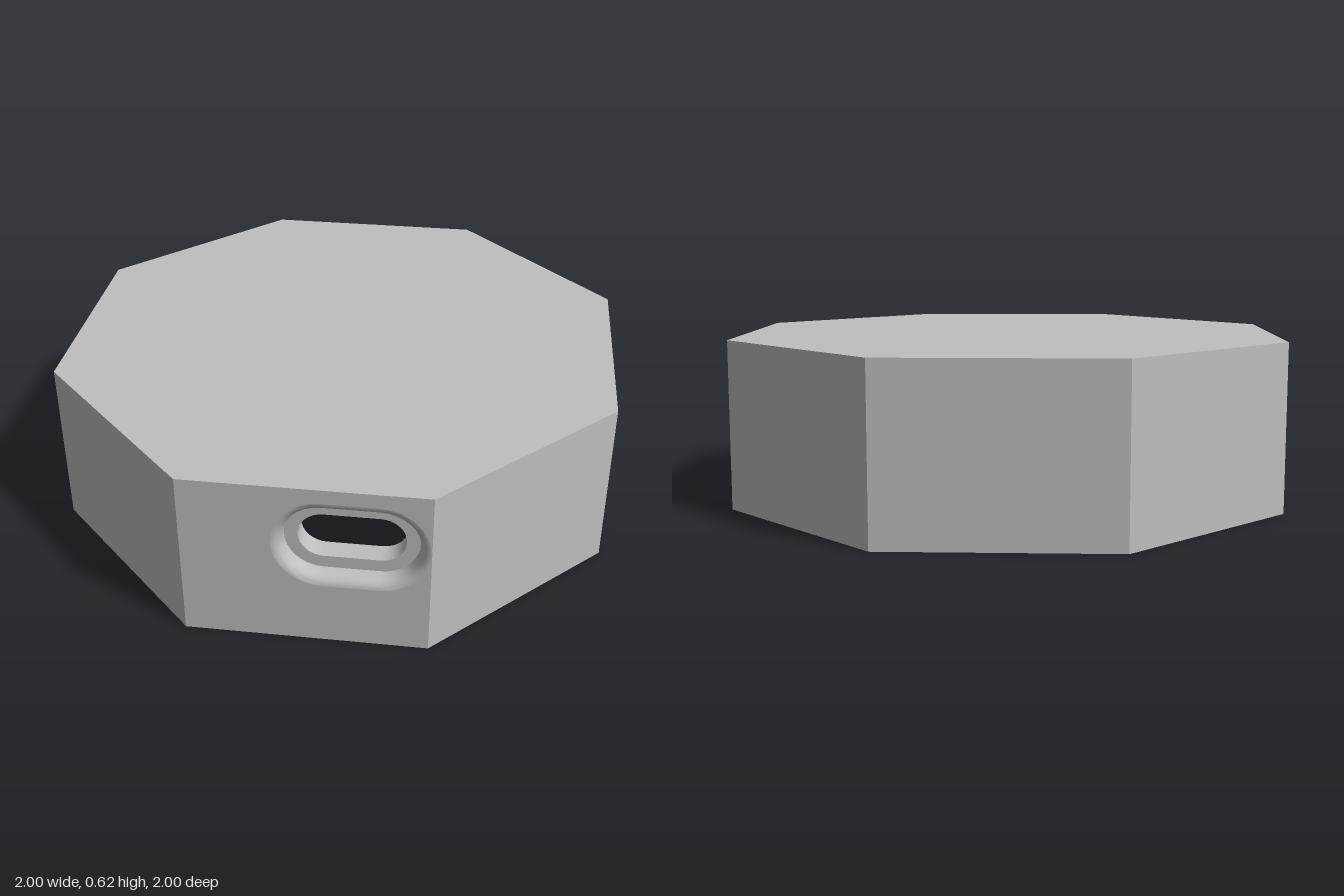
import * as THREE from 'three';
import { toCreasedNormals } from 'three/addons/utils/BufferGeometryUtils.js';

const TAN = Math.tan(Math.PI / 8);
const HEIGHT = 0.62, CEILING = 0.53, INNER = 0.87, RECESS = 0.945;
const V = (x, y) => new THREE.Vector2(x, y);

// Octagon corners for a given distance from centre to side
const octagon = (apothem) => Array.from({ length: 8 }, (_, i) => {
  const a = Math.PI / 8 + i * Math.PI / 4, r = apothem / Math.cos(Math.PI / 8);
  return V(r * Math.cos(a), r * Math.sin(a));
});

const rect = (x0, y0, x1, y1) => [V(x0, y0), V(x1, y0), V(x1, y1), V(x0, y1)];

// Rounded slot outline, counterclockwise, with a fixed straight length
function slot(radius, n = 16) {
  const pts = [];
  for (const side of [1, -1]) {
    for (let i = 0; i <= n; i++) {
      const a = -Math.PI / 2 + Math.PI * i / n;
      pts.push(V(0.15 + side * (0.094 + radius * Math.cos(a)), 0.4 + side * radius * Math.sin(a)));
    }
  }
  return pts;
}

// Flat panel with optional holes, at depth z
function panel(points, holes = [], z = 0, inward = false) {
  const shape = new THREE.Shape(points);
  holes.forEach((h) => shape.holes.push(new THREE.Path(h)));
  const g = new THREE.ShapeGeometry(shape).translate(0, 0, z);
  if (inward) {
    g.setIndex(Array.from(g.index.array).reverse());
    g.computeVertexNormals();
  }
  return g;
}

// Inward-facing skin through outlines given from front to back as [points, z]
function loft(rings) {
  const n = rings[0][0].length, pos = [], idx = [];
  rings.forEach(([pts, z]) => pts.forEach((p) => pos.push(p.x, p.y, z)));
  for (let j = 0; j < rings.length - 1; j++) {
    for (let i = 0; i < n; i++) {
      const a = j * n + i, b = j * n + (i + 1) % n;
      idx.push(a, b, a + n, b, b + n, a + n);
    }
  }
  const g = new THREE.BufferGeometry();
  g.setAttribute('position', new THREE.Float32BufferAttribute(pos, 3));
  g.setIndex(idx);
  g.computeVertexNormals();
  return toCreasedNormals(g, 0.7);
}

export function createModel() {
  const grey = new THREE.MeshStandardMaterial({ color: 0xbfbfbf, side: THREE.DoubleSide });
  grey.name = 'grey';
  const model = new THREE.Group();
  model.name = 'octagonalCover';
  const add = (parent, name, geometry) => {
    const m = new THREE.Mesh(geometry, grey);
    m.name = name;
    parent.add(m);
  };

  // Lid, ceiling and bottom rim
  add(model, 'lid', panel(octagon(1)).rotateX(-Math.PI / 2).translate(0, HEIGHT, 0));
  add(model, 'ceiling', panel(octagon(INNER)).rotateX(Math.PI / 2).translate(0, CEILING, 0));
  add(model, 'bottomRim', panel(octagon(1), [octagon(INNER)]).rotateX(Math.PI / 2));

  // Side walls, each built facing +z; index 1 faces front left
  const notch = rect(-0.07, 0.045, 0.07, 0.085);
  for (let k = 0; k < 8; k++) {
    const wall = new THREE.Group();
    wall.name = 'wall' + (k + 1);
    wall.rotation.y = k * Math.PI / 4;
    model.add(wall);
    const open = k === 1;

    add(wall, 'outerFace', panel(rect(-TAN, 0, TAN, HEIGHT), open ? [slot(0.168)] : [], 1));
    const w = TAN * INNER;
    add(wall, 'innerFace', panel(rect(-w, 0, w, CEILING), open ? [notch, slot(0.085)] : [notch], INNER, true));

    // Latch notch near the rim
    add(wall, 'notchSides', loft([[notch, INNER + 0.03], [notch, INNER]]));
    add(wall, 'notchBack', panel(notch, [], INNER + 0.03, true));

    // Cable opening: rounded lip, flat ledge and through slot
    if (open) {
      const lip = [];
      for (let i = 0; i <= 8; i++) {
        const a = i / 8 * Math.PI / 2;
        lip.push([slot(0.168 - 0.038 * Math.sin(a)), 1 - (1 - RECESS) * (1 - Math.cos(a))]);
      }
      add(wall, 'openingLip', loft(lip));
      add(wall, 'openingLedge', panel(slot(0.13), [slot(0.085)], RECESS));
      add(wall, 'openingSlot', loft([[slot(0.085), RECESS], [slot(0.085), INNER]]));
    }

    // Round posts under the ceiling, either side of the opening
    if (k === 3 || k === 7) {
      const s = new THREE.Shape();
      s.moveTo(0.078, 0);
      s.quadraticCurveTo(0.055, 0.002, 0.055, 0.018);
      s.absarc(0, 0.015, 0.055, 0.05, Math.PI - 0.05, false);
      s.quadraticCurveTo(-0.055, 0.002, -0.078, 0);
      const g = new THREE.ExtrudeGeometry(s, { depth: CEILING - 0.33, bevelEnabled: false, curveSegments: 14 });
      add(wall, 'post', toCreasedNormals(g.rotateX(-Math.PI / 2).translate(0, 0.33, INNER), 0.7));
    }

    // Wedge catches on the walls opposite the opening
    if (k === 4 || k === 6) {
      const s = new THREE.Shape([V(0, 0.225), V(0.065, 0.28), V(0, 0.28)]);
      const g = new THREE.ExtrudeGeometry(s, { depth: 0.08, bevelEnabled: false });
      add(wall, 'wedgeCatch', g.rotateY(Math.PI / 2).translate(-0.04, 0, INNER));
    }
  }
  return model;
}
